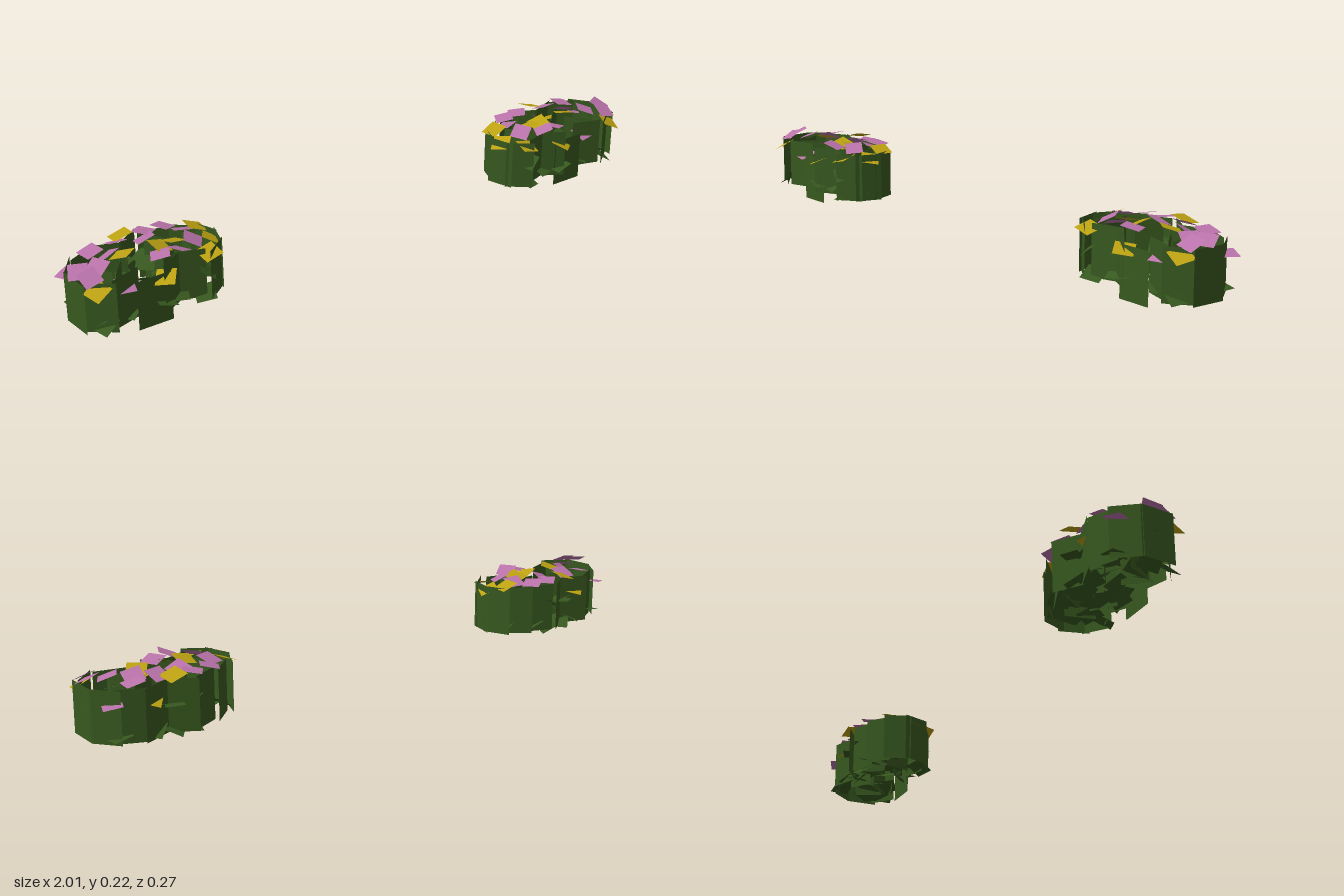
import * as THREE from 'three';

const mat = (name, color) => {
  const m = new THREE.MeshStandardMaterial({ color, side: THREE.DoubleSide });
  m.name = name;
  return m;
};

// small seeded generator giving values in -1..1
function seeded(seed) {
  return () => {
    seed = (seed * 16807) % 2147483647;
    return (seed / 2147483647) * 2 - 1;
  };
}

// vertical foliage cards: [x, z, width, turn, bottom, top]; x points outward
const PANELS = [
  [0.02, 0.09, 0.11, 0, 0, 0.155],
  [-0.185, 0.087, 0.09, -0.65], [-0.1, 0.075, 0.1, 0.3], [-0.04, 0.085, 0.08, -0.5],
  [0.105, 0.085, 0.1, -0.3], [0.185, 0.09, 0.09, 0.65],
  [0.232, 0.028, 0.105, 1.5], [0.21, -0.055, 0.09, 2.2], [0.15, -0.09, 0.09, -0.45],
  [0.075, -0.1, 0.1, 0.35], [-0.005, -0.107, 0.09, -0.6], [-0.085, -0.1, 0.09, 0.4],
  [-0.16, -0.075, 0.09, 0.7], [-0.215, -0.03, 0.09, 1.2], [-0.222, 0.035, 0.09, 1.85],
  [0.15, 0.02, 0.09, 1.1], [-0.135, 0.005, 0.09, 1.8], [0.075, -0.04, 0.08, 0.6],
  [-0.06, 0.035, 0.08, -0.7], [-0.07, -0.055, 0.08, 1.0], [0.1, 0.04, 0.08, -0.9],
];

// blossom cards: [x, z, height]
const PINK = [
  [-0.05, -0.09, 0.2], [-0.11, -0.085, 0.2], [0.13, -0.07, 0.2], [0.05, -0.07, 0.205],
  [0.2, -0.075, 0.15], [-0.145, -0.035, 0.2], [0.215, 0.025, 0.205], [0.155, 0.02, 0.2],
  [0.1, -0.025, 0.2], [-0.03, -0.05, 0.2], [-0.02, 0.06, 0.2], [-0.075, 0.07, 0.205],
  [-0.14, 0.035, 0.2], [0.1, 0.07, 0.145], [0.2, 0.065, 0.2],
];
const YELLOW = [
  [0.02, -0.1, 0.205], [0.085, -0.09, 0.145], [-0.19, -0.04, 0.195], [0.07, 0.005, 0.205],
  [-0.09, 0.01, 0.2], [-0.21, 0.02, 0.175], [-0.045, 0.015, 0.2], [0.195, 0.095, 0.17],
  [-0.015, 0.095, 0.145], [-0.16, 0.09, 0.175],
];

export function createModel() {
  const green = mat('leaf green', 0x37581f);
  const pink = mat('blossom pink', 0xba73ab);
  const yellow = mat('blossom yellow', 0xbda212);
  const model = new THREE.Group();
  model.name = 'flowerClusters';

  // side is +1 or -1; the two clusters mirror each other
  function cluster(side) {
    const g = new THREE.Group();
    g.name = side > 0 ? 'leftCluster' : 'rightCluster';
    g.position.x = side * 0.755;
    const rnd = seeded(4217);

    // upright foliage
    for (const [x, z, w, turn, y0 = 0.035, y1 = 0.19] of PANELS) {
      const card = new THREE.Mesh(new THREE.PlaneGeometry(w, y1 - y0), green);
      card.name = 'foliageCard';
      card.position.set(side * x, (y0 + y1) / 2, z);
      card.rotation.y = side * turn;
      g.add(card);
    }

    // square card, turned and tilted irregularly
    function tilted(name, material, x, y, z, size, lean) {
      const geo = new THREE.PlaneGeometry(size, size).rotateX(-Math.PI / 2);
      geo.rotateY(side * rnd() * 0.7);
      geo.rotateX(z * 2.5 + rnd() * lean);
      geo.rotateZ(-side * (x + rnd() * lean));
      const card = new THREE.Mesh(geo, material);
      card.name = name;
      card.position.set(side * x, y, z);
      g.add(card);
    }
    for (const [x, z, y] of PINK) tilted('pinkBlossom', pink, x, y, z, 0.056, 0.4);
    for (const [x, z, y] of YELLOW) tilted('yellowBlossom', yellow, x, y, z, 0.058, 0.4);

    // a low leaf under every blossom, and some higher inner ones
    [...PINK, ...YELLOW].forEach(([x, z], i) => {
      tilted('lowLeaf', green, x * 0.9, 0.045 + (i % 3) * 0.01, z * 0.92, 0.06, 0.45);
      if (i % 3 === 0) tilted('midLeaf', green, x * 0.95, 0.12, z, 0.055, 0.6);
    });
    return g;
  }

  model.add(cluster(1), cluster(-1));
  return model;
}
